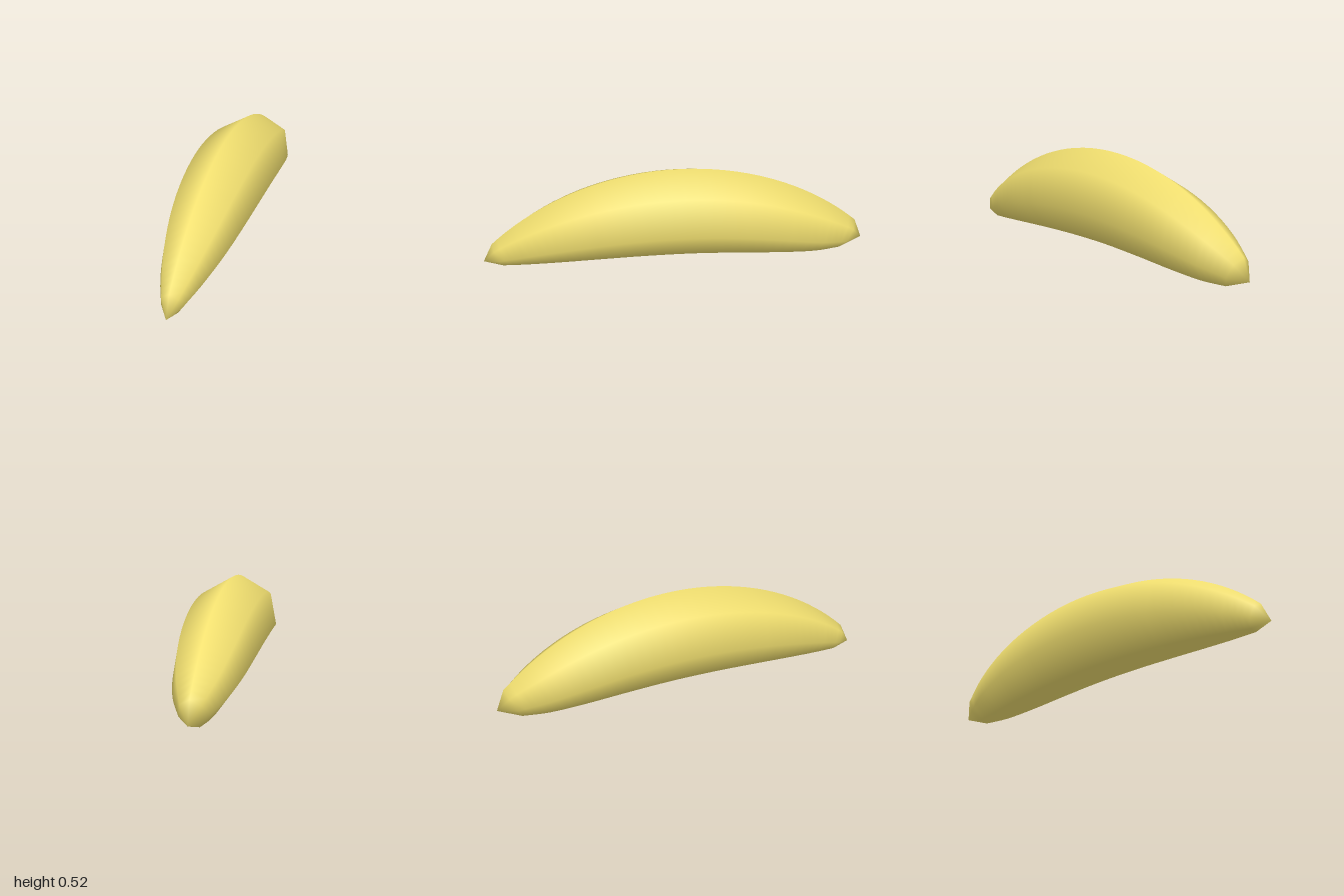
import * as THREE from 'three';

const SIDES = 7, RINGS = 36;

// Stations from front to back: z and y of the underside, half width of the body
const stations = new THREE.CatmullRomCurve3([
  [0.90, 0.022, 0.052], [0.78, 0.032, 0.098], [0.60, 0.046, 0.145], [0.40, 0.058, 0.175],
  [0.15, 0.066, 0.193], [-0.10, 0.063, 0.197], [-0.35, 0.046, 0.188], [-0.57, 0.024, 0.165],
  [-0.75, 0.007, 0.122], [-0.88, 0.004, 0.064],
].map(p => new THREE.Vector3(...p)));

// The upper ridge is one circular arc
const ridgeY = z => Math.sqrt(1.4 ** 2 - (z + 0.01) ** 2) - 0.875;

function bodyGeometry() {
  const pos = [], index = [];
  const low = Math.cos(Math.PI / SIDES);              // heptagon's flat underside
  const widest = Math.sin(4 * Math.PI / SIDES);

  // Seven-sided rings, leaning outward towards the ends
  for (let i = 0; i <= RINGS; i++) {
    const s = stations.getPoint(i / RINGS);
    const topZ = s.x * (s.x > 0 ? 1.056 : 1.091);
    const topY = ridgeY(topZ);
    for (let j = 0; j < SIDES; j++) {
      const a = j / SIDES * Math.PI * 2;
      const f = (Math.cos(a) + low) / (1 + low);      // 0 underside, 1 ridge
      pos.push(Math.sin(a) * s.z / widest,
        THREE.MathUtils.lerp(s.y, topY, f), THREE.MathUtils.lerp(s.x, topZ, f));
    }
  }
  // Pointed tips
  const front = pos.length / 3, back = front + 1;
  pos.push(0, 0.04, 1, 0, 0.045, -1);

  for (let j = 0; j < SIDES; j++) {
    const k = (j + 1) % SIDES, last = RINGS * SIDES;
    for (let i = 0; i < RINGS; i++) {
      const a = i * SIDES + j, b = i * SIDES + k;
      index.push(a, b + SIDES, b, a, a + SIDES, b + SIDES);
    }
    index.push(front, j, k, back, last + k, last + j);
  }

  const g = new THREE.BufferGeometry();
  g.setAttribute('position', new THREE.Float32BufferAttribute(pos, 3));
  g.setIndex(index);
  g.computeVertexNormals();
  return g;
}

export function createModel() {
  const group = new THREE.Group();
  group.name = 'banana';
  const skin = new THREE.MeshStandardMaterial({ color: 0xf2e070, side: THREE.DoubleSide });
  const body = new THREE.Mesh(bodyGeometry(), skin);
  body.name = 'bananaBody';
  group.add(body);
  return group;
}
